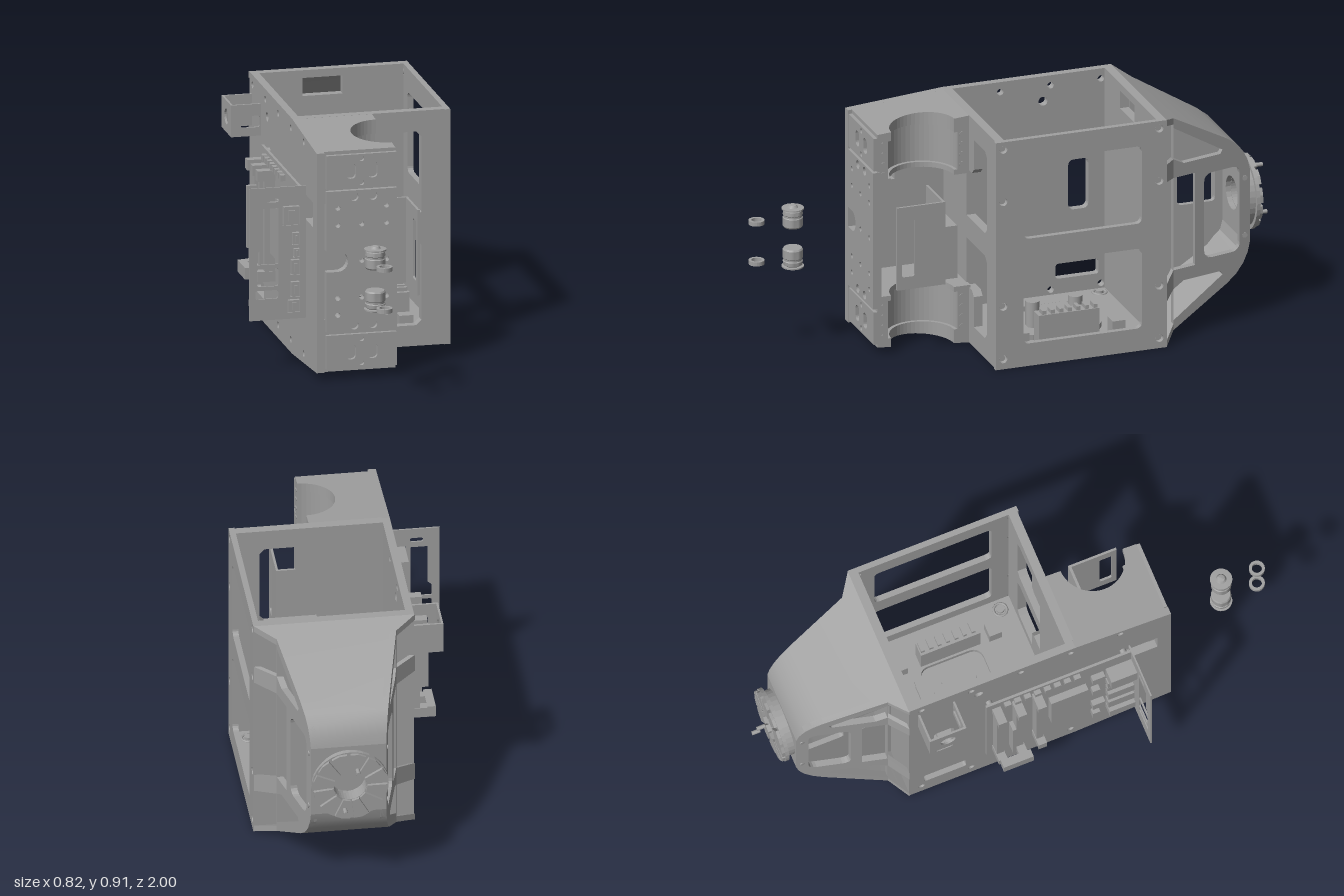
import * as THREE from 'three';
import { toCreasedNormals } from 'three/addons/utils/BufferGeometryUtils.js';

const H = 0.91, CX = 0.105, CY = 0.455; // body height, rear axis

export function createModel() {
  const model = new THREE.Group();
  const grey = new THREE.MeshStandardMaterial({ color: 0xa0a0a0 });
  grey.name = 'machined grey';

  const add = (name, geo) => {
    const m = new THREE.Mesh(geo, grey);
    m.name = name;
    model.add(m);
    return m;
  };
  const box = (name, x0, x1, y0, y1, z0, z1) =>
    add(name, new THREE.BoxGeometry(x1 - x0, y1 - y0, z1 - z0)
      .translate((x0 + x1) / 2, (y0 + y1) / 2, (z0 + z1) / 2));
  const cyl = (name, axis, r, len, x, y, z) => {
    const g = new THREE.CylinderGeometry(r, r, len, 24);
    if (axis === 'x') g.rotateZ(-Math.PI / 2);
    if (axis === 'z') g.rotateX(Math.PI / 2);
    return add(name, g.translate(x, y, z));
  };

  // Outline helpers: rounded rectangle, circle and rectangle as point lists
  const rr = (u0, u1, v0, v1, r = 0.02) => {
    const p = [];
    [[u1 - r, v1 - r], [u0 + r, v1 - r], [u0 + r, v0 + r], [u1 - r, v0 + r]].forEach(([u, v], i) => {
      for (let k = 0; k <= 4; k++) {
        const a = (i + k / 4) * Math.PI / 2;
        p.push([u + r * Math.cos(a), v + r * Math.sin(a)]);
      }
    });
    return p;
  };
  const circle = (u, v, r, n = 20) => Array.from({ length: n }, (_, i) =>
    [u + r * Math.cos(i * 2 * Math.PI / n), v + r * Math.sin(i * 2 * Math.PI / n)]);
  const rect = (u0, u1, v0, v1) => [[u0, v0], [u1, v0], [u1, v1], [u0, v1]];
  // Outlines run counter-clockwise and holes clockwise, so every wall faces out
  const extrude = (pts, holes, depth, f = (p) => p) => {
    const vec = (l, clockwise) => {
      const v = l.map((p) => new THREE.Vector2(...f(p)));
      return THREE.ShapeUtils.isClockWise(v) === clockwise ? v : v.reverse();
    };
    const s = new THREE.Shape(vec(pts, false));
    holes.forEach((h) => s.holes.push(new THREE.Path(vec(h, true))));
    return new THREE.ExtrudeGeometry(s, { depth, bevelEnabled: false });
  };
  // Plates facing x (points are z,y), y (points are x,z) and z (points are x,y)
  const geoX = (pts, holes, x0, x1) =>
    extrude(pts, holes, x1 - x0, ([z, y]) => [-z, y]).rotateY(Math.PI / 2).translate(x0, 0, 0);
  const geoY = (pts, holes, y0, y1) =>
    extrude(pts, holes, y1 - y0, ([x, z]) => [x, -z]).rotateX(-Math.PI / 2).translate(0, y0, 0);
  const geoZ = (pts, holes, z0, z1) => extrude(pts, holes, z1 - z0).translate(0, 0, z0);
  const warp = (g, rule) => {
    const p = g.attributes.position;
    for (let i = 0; i < p.count; i++) p.setXYZ(i, ...rule(p.getX(i), p.getY(i), p.getZ(i)));
    g.computeVertexNormals();
    return g;
  };
  const flipY = (pts) => pts.map(([a, b]) => [a, H - b]).reverse();

  // Main box: open top, windowed left panel, long right wall
  const bolts = [];
  for (const z of [0.15, -0.47]) for (const y of [0.88, 0.67, 0.25, 0.04]) bolts.push([z, y]);
  add('leftPanel', geoX(rect(-0.5, 0.18, 0, H),
    [rr(-0.4, 0.07, 0.51, 0.82), rr(-0.4, 0.07, 0.09, 0.41), ...bolts.map(([z, y]) => circle(z, y, 0.016))], 0.388, 0.41));
  bolts.forEach(([z, y]) => cyl('panelBolt', 'x', 0.011, 0.012, 0.394, y, z));
  const wallHoles = [rr(-0.4, -0.32, 0.36, 0.56), rr(-0.44, -0.27, 0.09, 0.15, 0.01),
    rect(0.37, 0.5, 0.58, 0.675), circle(-0.22, 0.81, 0.018)];
  for (const z of [-0.45, -0.25, -0.05, 0.15, 0.35]) wallHoles.push(circle(z, 0.05, 0.013), circle(z, 0.87, 0.013));
  add('rightWall', geoX([[-0.5, 0], [0.17, 0], [0.555, 0.03], [0.555, 0.88], [0.17, H], [-0.5, H]],
    wallHoles, -0.195, -0.165));
  add('backWall', geoZ(rect(-0.165, 0.388, 0, H), [rect(0, 0.155, 0.81, 0.88)], -0.5, -0.465));
  const win = [[0.08, 0.5], [0.28, 0.5], [0.3, 0.52], [0.3, 0.81], [0.28, 0.83], [0.16, 0.83], [0.16, 0.71], [0.14, 0.69], [0.08, 0.69]];
  add('frontWall', geoZ(rect(-0.165, 0.388, 0, H), [win, flipY(win)], 0.14, 0.175));
  box('floor', -0.165, 0.388, 0, 0.03, -0.465, 0.14);

  // Equipment on the floor
  for (const x of [-0.125, 0.348]) for (const z of [-0.43, 0.09]) {
    const ring = add('floorBoltRing', new THREE.TorusGeometry(0.025, 0.005, 8, 24));
    ring.rotation.x = Math.PI / 2;
    ring.position.set(x, 0.03, z);
    cyl('floorBolt', 'y', 0.015, 0.012, x, 0.034, z);
  }
  add('floorTray', geoY(rr(-0.1, 0.24, -0.32, 0.03, 0.06), [rr(-0.04, 0.235, -0.29, -0.04, 0.04)], 0.03, 0.05));
  box('floorModule', 0.055, 0.145, 0.03, 0.09, -0.23, -0.1);
  for (const z of [-0.25, -0.08]) cyl('modulePost', 'y', 0.027, 0.1, 0.1, 0.08, z);
  box('sideBlock', 0.25, 0.305, 0.03, 0.15, -0.27, -0.03);
  for (let i = 0; i < 7; i++) box('blockConnector', 0.26, 0.3, 0.15, 0.165, -0.265 + i * 0.034, -0.25 + i * 0.034);
  for (const z of [-0.35, 0.03]) box('endBlock', 0.245, 0.3, 0.03, 0.085, z - 0.025, z + 0.025);

  // Front saddles with half-round bores, mirrored top and bottom
  const saddle = (r) => {
    const p = [[0.11, 0.17], [-0.165, 0.17], [-0.165, 0.54], [0.11, 0.54]];
    for (let i = 0; i <= 24; i++) {
      const a = Math.PI / 2 + (i / 24) * Math.PI;
      p.push([0.11 + r * Math.cos(a), 0.36 + r * Math.sin(a)]);
    }
    return p;
  };
  for (const top of [true, false]) {
    const layers = [[0.68, 0.7, 0.125], [0.7, 0.85, 0.138], [0.85, H, 0.125]];
    layers.forEach(([y0, y1, r]) => {
      const g = top ? geoY(saddle(r), [], y0, y1) : geoY(saddle(r), [], H - y1, H - y0);
      add('boreSaddle', warp(g, (x, y, z) => {
        const drop = (z - 0.17) * 0.078;
        if (y > H - 0.001) y -= drop;
        if (y < 0.001) y += drop;
        return [x, y, z];
      }));
    });
    const f = (p) => (top ? p : flipY(p));
    add('saddleFace', geoZ(f(rect(-0.158, 0.112, 0.738, 0.868)), [f(rr(-0.083, -0.045, 0.775, 0.835, 0.015)),
      f(rr(0, 0.038, 0.775, 0.835, 0.015)), f(circle(-0.023, 0.85, 0.01)), f(circle(-0.023, 0.757, 0.01))], 0.54, 0.555));
    // Small bolts along the cut edges of the saddle
    for (const z of [0.205, 0.515]) for (let i = 0; i < 4; i++) {
      const y = 0.72 + i * 0.04;
      cyl('edgeBolt', 'x', 0.009, 0.006, 0.109, top ? y : H - y, z);
    }
  }
  // Drilled middle front plate with a U-shaped notch on its right edge
  const drilled = [];
  for (const y of [0.665, 0.598, 0.315, 0.25]) for (const x of [-0.115, 0.072]) drilled.push(circle(x, y, 0.01));
  for (const y of [0.598, 0.457, 0.315]) drilled.push(circle(-0.023, y, 0.01));
  drilled.push(circle(0.072, 0.457, 0.01));
  for (const y of [0.705, 0.208]) for (const x of [-0.052, 0.02]) drilled.push(circle(x, y, 0.017));
  const plate = [[-0.158, 0.185], [0.112, 0.185], [0.112, 0.73], [-0.158, 0.73], [-0.158, 0.498]];
  for (let i = 0; i <= 12; i++) {
    const a = Math.PI / 2 - (i / 12) * Math.PI;
    plate.push([-0.115 + 0.04 * Math.cos(a), 0.458 + 0.04 * Math.sin(a)]);
  }
  plate.push([-0.158, 0.418]);
  add('frontPlate', geoZ(plate, drilled, 0.525, 0.558));

  // Bent bracket between the saddles
  box('bracketWeb', 0.03, 0.212, 0.29, 0.62, 0.308, 0.318);
  add('bracketFace', geoX(rect(0.308, 0.5, 0.29, 0.62), [rr(0.43, 0.48, 0.34, 0.57, 0.008)], 0.205, 0.214));
  box('bracketBlock', -0.16, 0.05, 0.24, 0.45, 0.2, 0.27);

  // Tapered rear shell: flared at the box, narrow at the coupling
  const half = (z) => (z > -0.555 ? 0.225 + (z + 0.555) / 0.055 * 0.078 : 0.225 - (-0.555 - z) / 0.335 * 0.083);
  const outer = [[-0.5, 0.91], [-0.525, 0.896], [-0.555, 0.88], [-0.79, 0.745], [-0.83, 0.715], [-0.86, 0.68], [-0.88, 0.64], [-0.89, 0.6]];
  const inner = outer.map(([z, y]) => [z + (z < -0.7 ? 0.02 : 0), y - (z < -0.87 ? 0 : 0.025)]);
  for (const s of [1, -1]) {
    // Four-cornered cross-sections joined along the profile and capped
    const pos = [], idx = [];
    const quad = (a, b, c, d) => idx.push(...(s > 0 ? [a, b, c, a, c, d] : [a, c, b, a, d, c]));
    outer.forEach(([z, y], i) => {
      const h = half(z), [zi, yi] = inner[i], v = (yy) => CY + s * (yy - CY);
      pos.push(CX - h, v(y), z, CX + h, v(y), z, CX + h, v(yi), zi, CX - h, v(yi), zi);
      if (i) for (let k = 0; k < 4; k++) {
        const a = 4 * i - 4 + k, b = 4 * i - 4 + (k + 1) % 4;
        quad(a, b, b + 4, a + 4);
      }
    });
    const e = 4 * outer.length - 4;
    quad(3, 2, 1, 0);
    quad(e, e + 1, e + 2, e + 3);
    const g = new THREE.BufferGeometry();
    g.setAttribute('position', new THREE.Float32BufferAttribute(pos, 3));
    g.setIndex(idx);
    add('rearSkin', toCreasedNormals(g, 0.5));
  }
  add('rearFace', geoZ(rect(CX - 0.142, CX + 0.142, 0.31, 0.6), [circle(CX, CY, 0.065)], -0.89, -0.87));
  const tri = [[-0.556, 0.84], [-0.556, 0.715], [-0.6, 0.69], [-0.76, 0.69], [-0.77, 0.705]];
  const sideHoles = [tri, flipY(tri), rect(-0.65, -0.556, 0.27, 0.64), rr(-0.845, -0.69, 0.285, 0.625, 0.03)];
  const sideOutline = [...outer.slice(2), ...flipY(outer.slice(2))];
  const strut = [[-0.555, 0.715], [-0.5, 0.73], [-0.5, 0.66], [-0.555, 0.64]];
  const t = 0.025;
  for (const s of [-1, 1]) {
    const place = (g) => warp(g, (d, y, z) => [CX + (s < 0 ? d - half(z) : half(z) - t + d), y, z]);
    add('rearSideFrame', place(geoX(sideOutline, sideHoles, 0, t)));
    for (const p of [strut, flipY(strut)]) add('flareStrut', place(geoX(p, [], 0, t)));
    for (const y of [0.34, 0.57]) cyl('rearScrew', 'x', 0.01, 0.008, CX + s * 0.146, y, -0.867);
  }
  // Inner web with a slot on either side of the post
  add('innerWeb', geoX([[-0.5, 0.885], [-0.79, 0.73], [-0.872, 0.62], [-0.872, 0.29], [-0.79, 0.18], [-0.5, 0.025]],
    [rect(-0.65, -0.505, 0.39, 0.53), rr(-0.84, -0.69, 0.39, 0.53, 0.015)], -0.015, 0.005));

  // Serrated rear coupling
  const bore = [circle(CX, CY, 0.062, 36)];
  add('couplingNeck', geoZ(circle(CX, CY, 0.13, 36), bore, -0.92, -0.89));
  add('couplingFlange', geoZ(circle(CX, CY, 0.145, 36), bore, -0.932, -0.918));
  for (let i = 0; i < 12; i++) {
    const a0 = (i / 12) * Math.PI * 2, a1 = a0 + 0.43;
    const p = [[0.064, a0], [0.139, a0], [0.142, (a0 + a1) / 2], [0.139, a1], [0.064, a1]]
      .map(([r, a]) => [CX + r * Math.cos(a), CY + r * Math.sin(a)]);
    add('couplingTooth', geoZ(p, [], -0.944, -0.932));
  }
  for (const [x, y] of [[0.082, 0.543], [0.13, 0.372]]) cyl('loosePin', 'z', 0.008, 0.032, x, y, -0.984);

  // Loose plungers and washers ahead of the front plate
  for (const s of [-1, 1]) {
    const y = (d) => CY + 0.003 + s * d;
    const prof = [[0, 0.042], [0.034, 0.042], [0.038, 0.048], [0.038, 0.08], [0.035, 0.083], [0.035, 0.09], [0.038, 0.093],
      [0.036, 0.108], [0.03, 0.112], [0.042, 0.113], [0.042, 0.118], [0.02, 0.119], [0.014, 0.128], [0, 0.132]];
    const pts = prof.map(([r, d]) => new THREE.Vector2(r, s * d));
    if (s < 0) pts.reverse();
    add('plunger', toCreasedNormals(new THREE.LatheGeometry(pts, 28), 0.5)).position.set(-0.036, y(0), 0.822);
    add('washer', geoY(circle(-0.036, 0.966, 0.03), [circle(-0.036, 0.966, 0.019)], y(0.08) - 0.008, y(0.08) + 0.008));
  }

  // Control board on the right wall
  box('circuitBoard', -0.222, -0.212, 0.2, 0.71, -0.2, 0.385);
  for (const z of [-0.18, 0.36]) for (const y of [0.22, 0.69]) cyl('standoff', 'x', 0.012, 0.02, -0.203, y, z);
  box('processor', -0.25, -0.222, 0.36, 0.56, 0.05, 0.2);
  for (const z of [-0.16, -0.08, 0.0]) {
    box('memorySlot', -0.262, -0.222, 0.27, 0.64, z - 0.014, z + 0.014);
    for (const y of [0.26, 0.65]) box('slotLatch', -0.29, -0.222, y - 0.02, y + 0.02, z - 0.017, z + 0.017);
  }
  box('cardEdge', -0.3, -0.262, 0.34, 0.58, -0.125, -0.11);
  box('cableClip', -0.322, -0.29, 0.235, 0.28, -0.17, -0.05);
  for (let i = 0; i < 8; i++) box('header', -0.24, -0.222, 0.672, 0.695, -0.13 + i * 0.04, -0.105 + i * 0.04);
  const ports = [[0.6, 0.07, 0.06], [0.51, 0.045, 0.025], [0.455, 0.03, 0.02], [0.4, 0.055, 0.03], [0.315, 0.055, 0.03], [0.25, 0.045, 0.042]];
  ports.forEach(([y, h, w]) => {
    box('port', -0.222 - w, -0.222, y - h / 2, y + h / 2, 0.28, 0.395);
    box('portTongue', -0.222 - w * 0.7, -0.222 - w * 0.3, y - h * 0.3, y + h * 0.3, 0.395, 0.402);
  });
  [0.24, 0.33, 0.48, 0.6].forEach((y, i) => box('component', -0.245, -0.222, y - 0.022, y + 0.022, 0.22, 0.25 + (i % 2) * 0.02));

  // Port shield standing out from the board
  const shieldHoles = [rr(-0.35, -0.3, 0.655, 0.672, 0.008), rr(-0.383, -0.302, 0.33, 0.4, 0.008), rr(-0.39, -0.302, 0.282, 0.315, 0.008),
    [[-0.383, 0.415], [-0.302, 0.415], [-0.302, 0.632], [-0.367, 0.632], [-0.367, 0.475], [-0.383, 0.46]]];
  ports.forEach(([y, h, w]) => shieldHoles.push(rect(-0.225 - w, -0.219, y - h / 2 - 0.003, y + h / 2 + 0.003)));
  add('portShield', geoZ(rect(-0.412, -0.195, 0.2, 0.712), shieldHoles, 0.383, 0.389));

  // Rear U bracket on the right wall
  add('bracketLeg', geoZ(rect(-0.31, -0.195, 0.712, 0.835), [rr(-0.272, -0.2, 0.745, 0.79, 0.008)], -0.324, -0.316));
  box('bracketLeg', -0.31, -0.195, 0.712, 0.835, -0.464, -0.456);
  add('bracketOuter', geoX(rect(-0.456, -0.324, 0.712, 0.835), [circle(-0.39, 0.773, 0.03)], -0.31, -0.302));

  return model;
}
